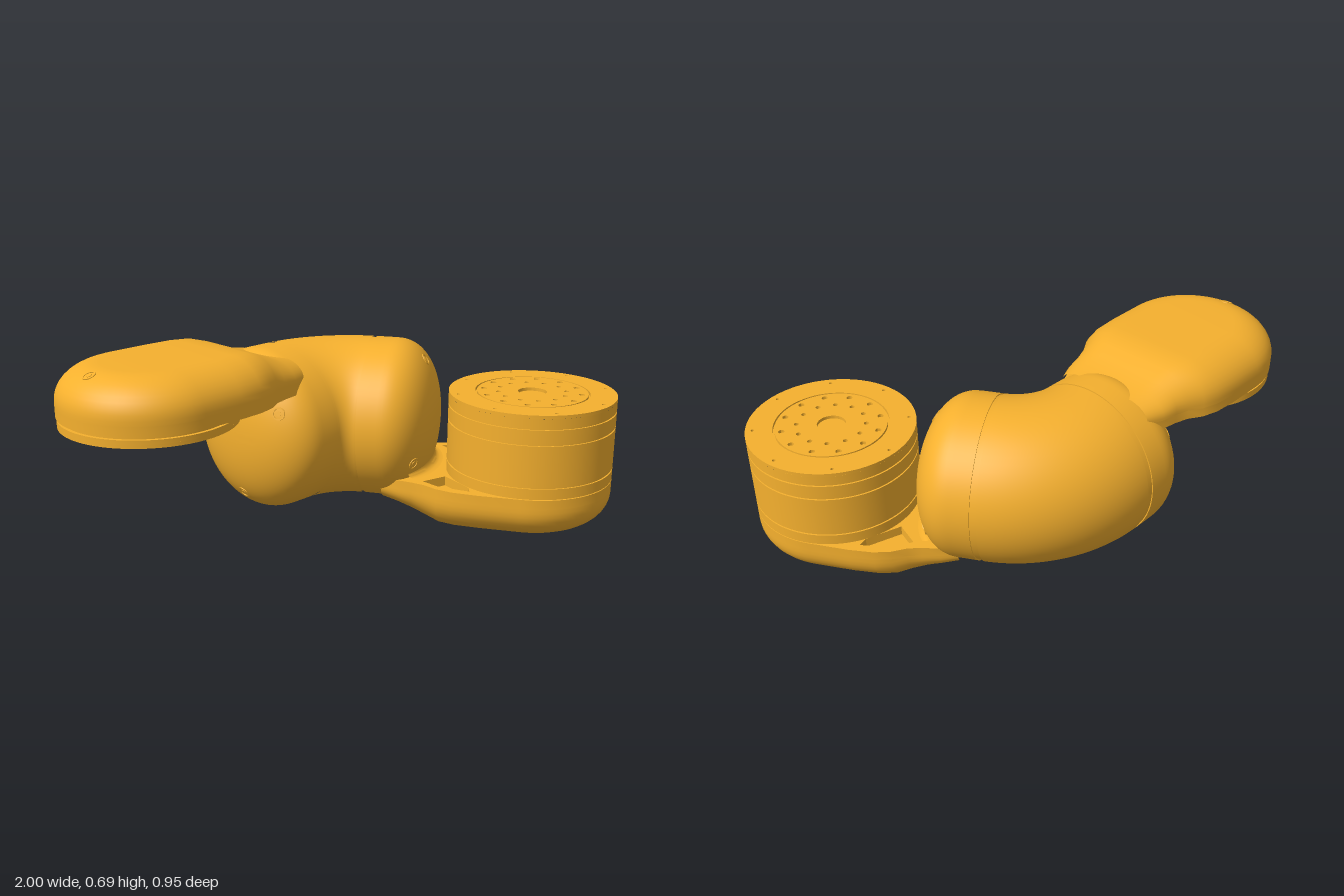
import * as THREE from 'three';
import { toCreasedNormals } from 'three/addons/utils/BufferGeometryUtils.js';

const mat = new THREE.MeshStandardMaterial({ color: 0xf5b02e });
const thin = new THREE.MeshStandardMaterial({ color: 0xf5b02e, side: THREE.DoubleSide });
const V2 = (x, y) => new THREE.Vector2(x, y);
const TILT = Math.PI / 6, TUBE = 0.3, BEND = 0.35, AXIS = 0.6, R = 0.305;

function add(parent, name, geo, material = mat) {
  const m = new THREE.Mesh(geo, material);
  m.name = name;
  parent.add(m);
  return m;
}
const lathe = (pts, seg = 72) => toCreasedNormals(new THREE.LatheGeometry(pts.map(p => V2(...p)), seg), 0.5);

// Grid of points (rows x columns) into a creased surface
function grid(rows) {
  const n = rows[0].length, idx = [];
  for (let i = 0; i < rows.length - 1; i++)
    for (let j = 0; j < n - 1; j++) {
      const a = i * n + j, c = a + n;
      idx.push(a, a + 1, c, a + 1, c + 1, c);
    }
  const g = new THREE.BufferGeometry();
  g.setAttribute('position', new THREE.Float32BufferAttribute(rows.flat(2), 3));
  g.setIndex(idx);
  return toCreasedNormals(g, 0.6);
}

// Socket screw sitting in a small rim, facing along a normal
function screw(parent, pos, normal) {
  const g = new THREE.Group();
  g.name = 'screw';
  add(g, 'screwRim', lathe([[0.025, -0.015], [0.023, 0.002], [0.018, 0.002], [0.016, -0.015]], 20), thin);
  add(g, 'screwHead', new THREE.CylinderGeometry(0.01, 0.01, 0.015, 6)).position.y = -0.006;
  g.position.set(...pos);
  g.quaternion.setFromUnitVectors(new THREE.Vector3(0, 1, 0), new THREE.Vector3(...normal).normalize());
  parent.add(g);
}

// Pad outline: narrow neck widening into a round end, as [u, v]
function padOutline() {
  const neck = [[0.08, 0.2], [0.14, 0.225], [0.2, 0.235], [0.25, 0.25], [0.3, 0.28], [0.36, 0.298], [0.45, R]];
  const pts = neck.map(([u, v]) => [u, -v]);
  for (let i = 0; i <= 40; i++) {
    const a = -Math.PI / 2 + Math.PI * i / 40;
    pts.push([AXIS + R * Math.cos(a), R * Math.sin(a)]);
  }
  return pts.concat([...neck].reverse());
}

// Disc with rings of through holes: [count, ring radius, hole radius, phase]
function drilledDisc(outer, inner, thickness, rings) {
  const s = new THREE.Shape().absarc(0, 0, outer, 0, Math.PI * 2);
  const hole = (x, y, r) => s.holes.push(new THREE.Path().absarc(x, y, r, 0, Math.PI * 2, true));
  if (inner) hole(0, 0, inner);
  for (const [n, rad, r, ph] of rings)
    for (let i = 0; i < n; i++) {
      const a = (i + ph) / n * Math.PI * 2;
      hole(rad * Math.cos(a), rad * Math.sin(a), r);
    }
  const g = new THREE.ExtrudeGeometry(s, { depth: thickness, bevelEnabled: false, curveSegments: 32 });
  return toCreasedNormals(g.rotateX(-Math.PI / 2), 0.5);
}

// Mounting face with bolt circles
function flangeFace(parent, y, r) {
  const t = 0.012;
  const floor = add(parent, 'faceFloor', new THREE.CircleGeometry(r - 0.002, 64).rotateX(-Math.PI / 2));
  floor.position.y = y - t;
  add(parent, 'faceRim', drilledDisc(r, 0.208, t, [[8, 0.278, 0.006, 0.5]])).position.y = y - t;
  add(parent, 'faceHub', drilledDisc(0.202, 0.052, t, [[12, 0.178, 0.011, 0], [12, 0.125, 0.009, 0.5]])).position.y = y - t;
}

// One half of the joint: u along x, pad at the bottom, mounting axis vertical at u = AXIS
function makeHalf(name) {
  const half = new THREE.Group();
  half.name = name;

  // Recessed seam band and domed housing
  add(half, 'seamBand', lathe([[0.296, -0.03], [0.296, 0.006]]).rotateZ(-Math.PI / 2));
  const domeR = t => TUBE * Math.pow(Math.max(Math.cos(t), 0), 0.9);
  const domeU = t => 0.08 + 0.175 * Math.pow(Math.sin(t), 0.9);
  const prof = [[0.29, 0.005], [TUBE, 0.005]];
  for (let i = 0; i <= 20; i++) {
    const t = i / 20 * Math.PI / 2;
    prof.push([i === 20 ? 0 : domeR(t), domeU(t)]);
  }
  add(half, 'domedHousing', lathe(prof).rotateZ(-Math.PI / 2));
  for (let i = 0; i < 3; i++) {
    const a = i / 3 * Math.PI * 2, c = Math.cos(a), s = Math.sin(a);
    screw(half, [0.2015, 0.23 * c, 0.23 * s], [3.8, 2.48 * c, 2.48 * s]);
  }

  // Rounded pad shell, sinking into the dome at the neck
  const outline = padOutline();
  const rings = [[-0.21, 1], [-0.21, 0]];
  for (let i = 0; i <= 10; i++) {
    const t = i / 10 * Math.PI / 2;
    rings.push([-0.225 - 0.12 * Math.sin(t), 0.5 * (1 - Math.cos(t))]);
  }
  rings.push([-0.345, 1]);
  add(half, 'padShell', grid(rings.map(([h, inset]) => outline.map(([u, v]) => {
    const su = Math.min(u, AXIS), k = 1 - inset;
    const sink = 1 - THREE.MathUtils.smoothstep(u, 0.08, 0.33);
    return [su + (u - su) * k, -0.21 + (h + 0.21) * (1 - 0.5 * sink), v * k];
  }))));

  // Flat pad plate with a pocket on each side of the neck
  const plate = new THREE.Shape(outline.map(p => V2(...p)));
  for (const s of [-1, 1])
    plate.holes.push(new THREE.Path([[0.24, 0.212], [0.3, 0.25], [0.42, 0.272], [0.41, 0.235], [0.31, 0.14]].map(([u, v]) => V2(u, v * s))));
  const plateGeo = new THREE.ExtrudeGeometry(plate, { depth: 0.035, bevelEnabled: false });
  add(half, 'padPlate', toCreasedNormals(plateGeo.rotateX(Math.PI / 2), 0.5)).position.y = -0.175;

  // Fillet where the dome meets the plate
  const domeAt = (h, v) => 0.08 + 0.175 * Math.sqrt(Math.max(0, 1 - (h * h + v * v) / 0.09));
  const fillet = [];
  for (let i = 0; i <= 16; i++) {
    const v = (i / 8 - 1) * 0.2, c = domeAt(-0.175, v), a = domeAt(-0.12, v), row = [];
    for (let j = 0; j <= 6; j++) {
      const t = j / 6, p = (1 - t) * (1 - t), q = 2 * t * (1 - t), r = t * t;
      row.push([p * a + q * (c + 0.005) + r * (c + 0.05), p * -0.12 + q * -0.174 + r * -0.174, v]);
    }
    fillet.push(row);
  }
  add(half, 'neckFillet', grid(fillet), thin);

  // Three screws on the rounded pad edge
  for (let i = 0; i < 3; i++) {
    const a = i / 3 * Math.PI * 2, c = Math.cos(a), s = Math.sin(a);
    screw(half, [AXIS + 0.22 * c, -0.332, 0.22 * s], [2.9 * c, -7.5, 2.9 * s]);
  }

  half.position.set(BEND * Math.sin(TILT), 0, BEND * (1 - Math.cos(TILT)) - 0.18);
  half.rotation.y = -TILT;
  return half;
}

// Round mount on a pad: wall with thin grooves at the given heights, closed by a face
function makeMount(name, y0, y1, r, grooves) {
  const g = new THREE.Group(), pts = [[r - 0.012, -0.176], [r - 0.012, y0], [r, y0]];
  g.name = name;
  for (const y of grooves)
    pts.push([r, y - 0.003], [r - 0.006, y - 0.003], [r - 0.006, y + 0.003], [r, y + 0.003]);
  pts.push([r, y1 - 0.012]);
  add(g, 'mountWall', lathe(pts, 96));
  flangeFace(g, y1, r);
  g.position.x = AXIS;
  return g;
}

export function createModel() {
  const model = new THREE.Group();
  model.name = 'elbowJoint';
  const body = new THREE.Group();
  body.name = 'jointBody';
  body.position.y = 0.345;
  model.add(body);

  // Curved middle section
  const arc = 2 * TILT - 0.06;
  const bend = new THREE.TorusGeometry(BEND, TUBE, 72, 40, arc);
  bend.rotateZ(Math.PI / 2 - arc / 2).rotateX(-Math.PI / 2);
  add(body, 'elbowBend', bend).position.z = BEND - 0.18;

  // Left half carries the tall drum
  const left = makeHalf('leftHalf');
  left.add(makeMount('outputDrum', -0.172, 0.135, R, [-0.13, 0.027, 0.085]));
  body.add(left);

  // Right half is turned over and carries a low flange
  const flip = new THREE.Group();
  flip.name = 'rightSide';
  flip.rotation.z = Math.PI;
  const right = makeHalf('rightHalf');
  right.add(makeMount('inputFlange', -0.165, -0.138, 0.302, []));
  flip.add(right);
  body.add(flip);
  return model;
}
